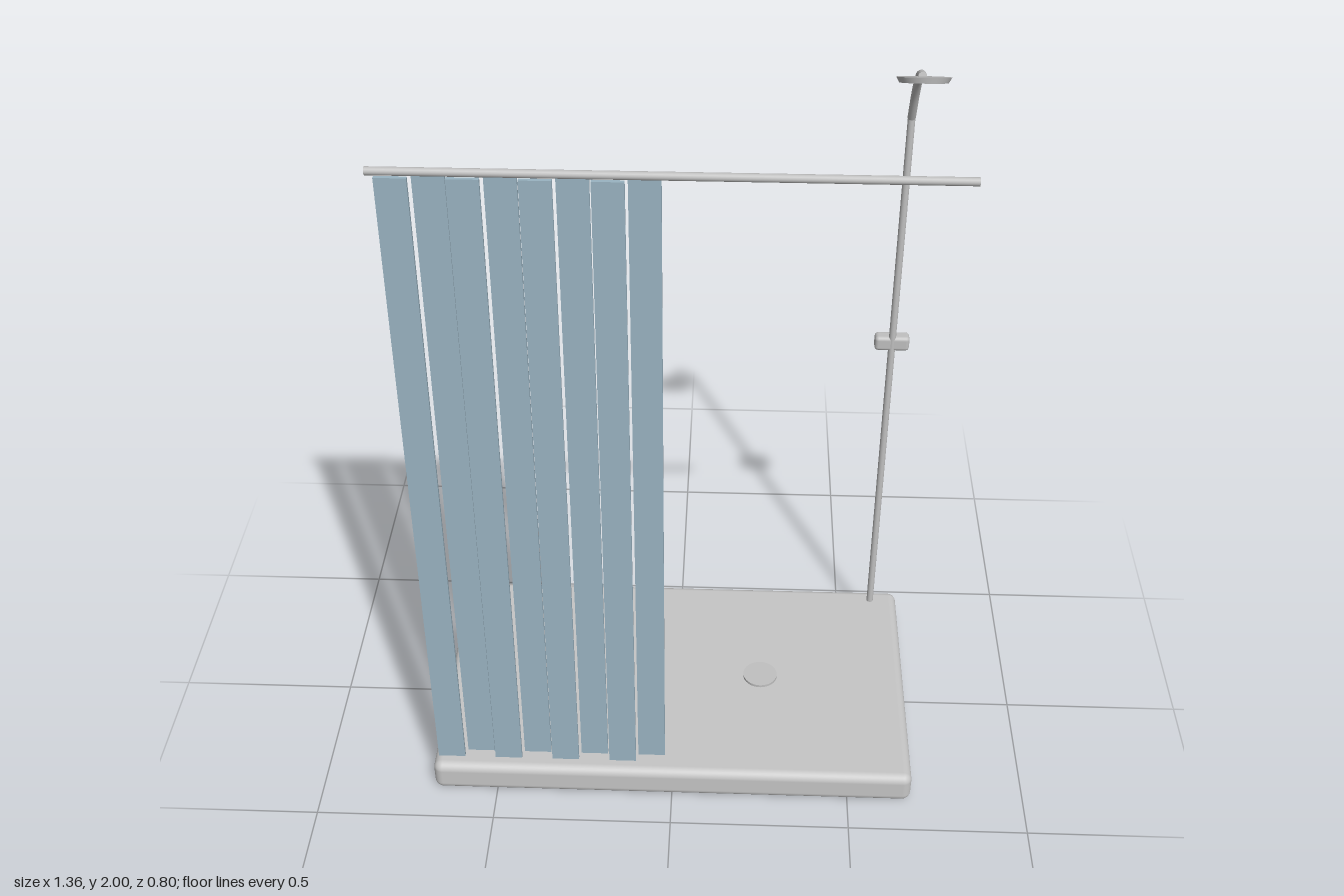
import * as THREE from 'three';
import { RoundedBoxGeometry } from 'three/addons/geometries/RoundedBoxGeometry.js';

export function createModel() {
  const model = new THREE.Group();
  model.name = 'shower';
  const trayGrey = new THREE.MeshStandardMaterial({ color: 0xc6c6c6 });
  trayGrey.name = 'trayGrey';
  const metalGrey = new THREE.MeshStandardMaterial({ color: 0xc0c0c0 });
  metalGrey.name = 'metalGrey';
  const curtainBlue = new THREE.MeshStandardMaterial({ color: 0x9ab4c2 });
  curtainBlue.name = 'curtainBlue';

  const add = (name, geometry, material, x, y, z, parent = model) => {
    const mesh = new THREE.Mesh(geometry, material);
    mesh.name = name;
    mesh.position.set(x, y, z);
    parent.add(mesh);
    return mesh;
  };

  // Floor tray and drain cover
  add('tray', new RoundedBoxGeometry(1.36, 0.095, 0.8, 4, 0.025), trayGrey, 0, 0.0475, 0);
  add('drain', new THREE.CylinderGeometry(0.05, 0.05, 0.009, 32), metalGrey, 0.25, 0.0985, 0);

  // Curtain rail along the front
  const rail = add('curtainRail', new THREE.CylinderGeometry(0.01, 0.01, 1.36, 16), metalGrey, 0, 1.974, 0.375);
  rail.rotation.z = Math.PI / 2;

  // Drawn curtain: panels alternating either side of the rail
  const curtain = new THREE.Group();
  curtain.name = 'curtain';
  model.add(curtain);
  const panel = new THREE.BoxGeometry(0.075, 1.835, 0.01);
  for (let i = 0; i < 8; i++) {
    add('curtainPanel', panel, curtainBlue, -0.622 + i * 0.0806, 1.0475, i % 2 ? 0.361 : 0.386, curtain);
  }

  // Riser pipe with curved arm
  const x = 0.597;
  add('riser', new THREE.CylinderGeometry(0.01, 0.01, 1.68, 16), metalGrey, x, 0.935, -0.353);
  const armPath = new THREE.CatmullRomCurve3(
    [[1.77, -0.353], [1.862, -0.307], [1.925, -0.26], [1.952, -0.222], [1.963, -0.185]]
      .map(([y, z]) => new THREE.Vector3(x, y, z)));
  add('arm', new THREE.TubeGeometry(armPath, 24, 0.011, 12), metalGrey, 0, 0, 0);
  add('armJoint', new THREE.SphereGeometry(0.011, 12, 8), metalGrey, x, 1.772, -0.353);
  const cap = add('armCap', new THREE.CircleGeometry(0.011, 12), metalGrey, x, 1.963, -0.185);
  cap.lookAt(armPath.getPoint(1).add(armPath.getTangent(1)));

  // Tilted shower head
  const head = add('showerHead', new THREE.CylinderGeometry(0.068, 0.06, 0.014, 32), metalGrey, x, 1.97, -0.149);
  head.rotation.x = -0.4;

  // Mixer valve
  add('mixerValve', new RoundedBoxGeometry(0.098, 0.045, 0.04, 3, 0.011), metalGrey, x, 1.067, -0.364);

  return model;
}
